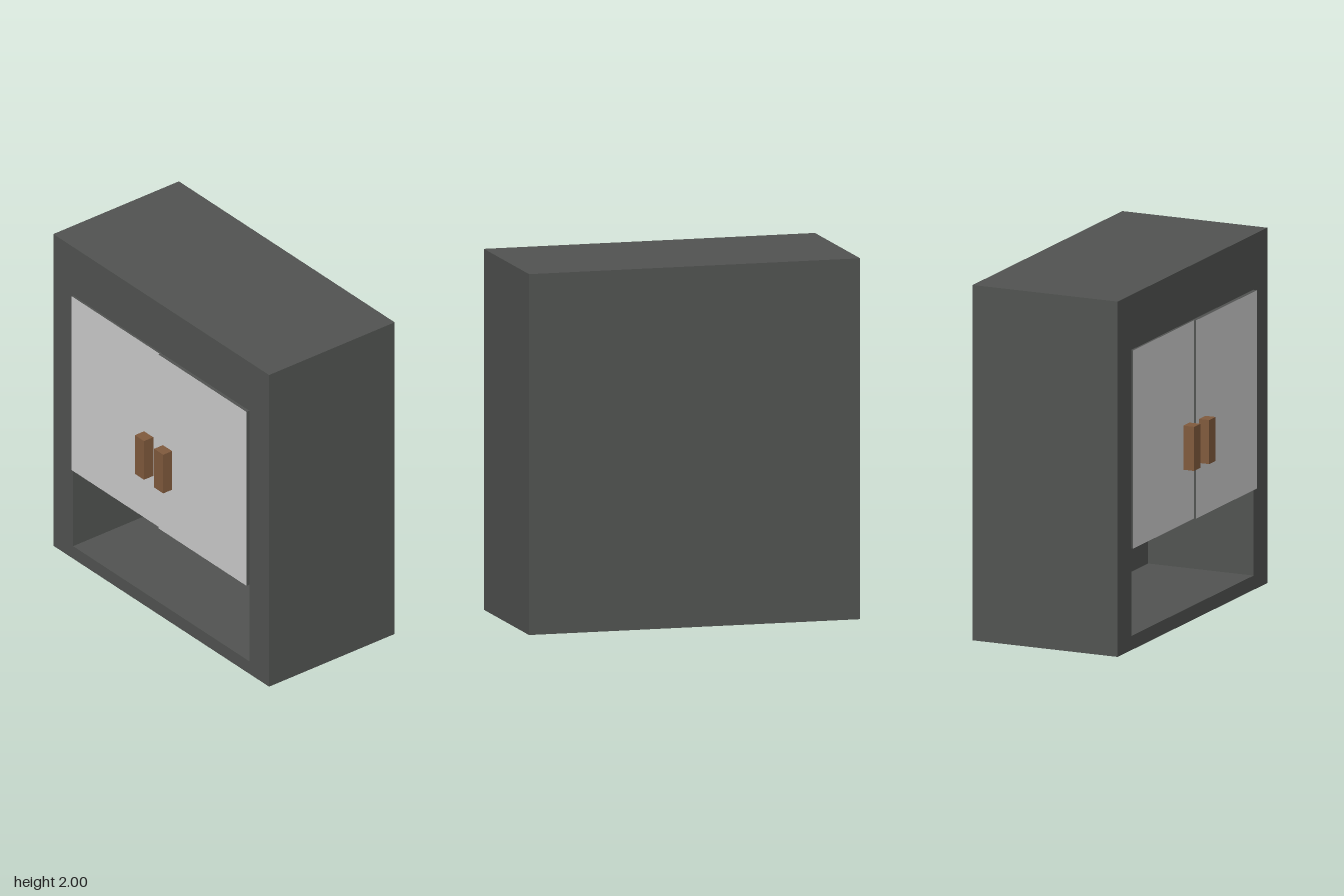
import * as THREE from 'three';

const bodyMat = new THREE.MeshStandardMaterial({ color: 0x515351 });
const panelMat = new THREE.MeshStandardMaterial({ color: 0xcccccc });
const woodMat = new THREE.MeshStandardMaterial({ color: 0x805a3d });

// Box given by its min and max corners
function box(name, [x0, y0, z0], [x1, y1, z1], material) {
  const mesh = new THREE.Mesh(new THREE.BoxGeometry(x1 - x0, y1 - y0, z1 - z0), material);
  mesh.position.set((x0 + x1) / 2, (y0 + y1) / 2, (z0 + z1) / 2);
  mesh.name = name;
  return mesh;
}

function rect(target, x0, y0, x1, y1) {
  target.moveTo(x0, y0);
  target.lineTo(x1, y0);
  target.lineTo(x1, y1);
  target.lineTo(x0, y1);
  target.closePath();
  return target;
}

export function createModel() {
  const group = new THREE.Group();
  group.name = 'cabinet';
  const W = 0.943, OPEN = 0.77, FRONT = 0.4, BACK = -0.48, INNER = -0.24;

  // Carcass: thick frame around the front opening
  const frame = rect(new THREE.Shape(), -W, 0, W, 2);
  frame.holes.push(rect(new THREE.Path(), -OPEN, 0.08, OPEN, 1.69));
  const carcass = new THREE.Mesh(
    new THREE.ExtrudeGeometry(frame, { depth: FRONT - INNER, bevelEnabled: false }), bodyMat);
  carcass.position.z = INNER;
  carcass.name = 'carcass';
  group.add(carcass);

  // Solid back closing the cavity
  group.add(box('back', [-W, 0, BACK], [W, 2, INNER], bodyMat));

  // Two doors, one slightly proud of the other, with pale fronts and dark edges
  const doorMats = [bodyMat, bodyMat, bodyMat, bodyMat, panelMat, bodyMat];
  const doors = [
    { side: 'right', x: [-OPEN, 0], z: 0.41, handle: [-0.137, -0.057], handleZ: 0.475 },
    { side: 'left', x: [0, OPEN], z: 0.42, handle: [0.04, 0.12], handleZ: 0.482 },
  ];
  for (const d of doors) {
    group.add(box(d.side + 'Door', [d.x[0], 0.572, d.z - 0.02], [d.x[1], 1.688, d.z], doorMats));
    group.add(box(d.side + 'Handle', [d.handle[0], 0.877, d.z],
      [d.handle[1], 1.125, d.handleZ], woodMat));
  }
  return group;
}
